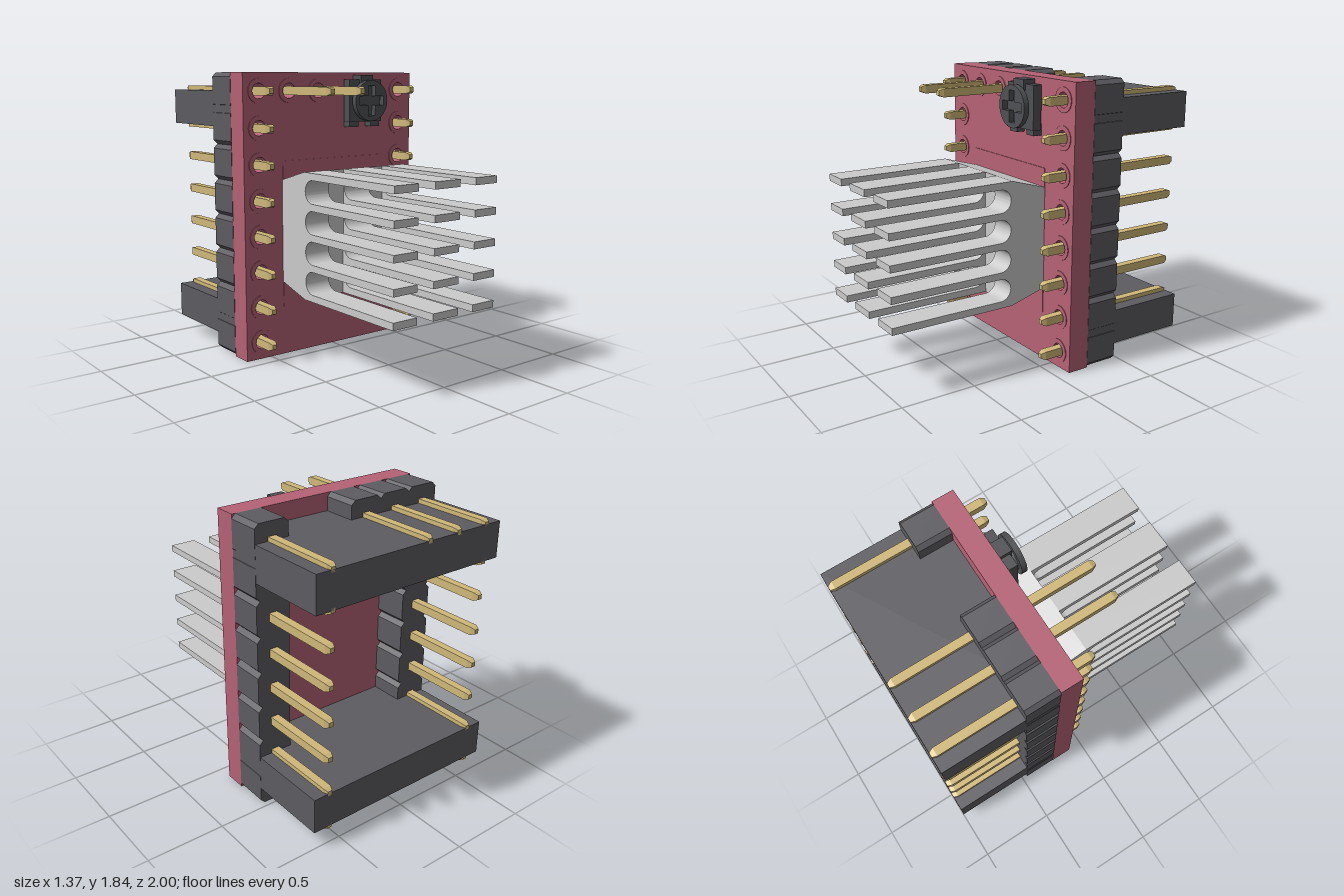
import * as THREE from 'three';
import { toCreasedNormals } from 'three/addons/utils/BufferGeometryUtils.js';

const mat = (color) => new THREE.MeshStandardMaterial({ color });
const red = mat(0xb56275), plastic = mat(0x5d5c61), gold = mat(0xd0b878);
const dark = mat(0x505154), metal = mat(0xcccccc);
gold.flatShading = true;

const PITCH = 0.23;
const ROW_Y = Array.from({ length: 8 }, (_, i) => 0.115 + i * PITCH);
const COL_X = 0.572;

export function createModel() {
  const model = new THREE.Group();

  const add = (name, geometry, material, parent = model) => {
    const mesh = new THREE.Mesh(geometry, material);
    mesh.name = name;
    parent.add(mesh);
    return mesh;
  };
  const box = (name, x0, x1, y0, y1, z0, z1, material, parent) => {
    const m = add(name, new THREE.BoxGeometry(x1 - x0, y1 - y0, z1 - z0), material, parent);
    m.position.set((x0 + x1) / 2, (y0 + y1) / 2, (z0 + z1) / 2);
    return m;
  };
  // Extrude an xy shape from z0 to z1
  const slab = (shape, z0, z1, curveSegments = 12) =>
    toCreasedNormals(new THREE.ExtrudeGeometry(shape, { depth: z1 - z0, bevelEnabled: false, curveSegments })
      .translate(0, 0, z0), 0.6);
  const polygon = (pts) => new THREE.Shape(pts.map(([x, y]) => new THREE.Vector2(x, y)));
  const circle = (x, y, r) => new THREE.Path().absarc(x, y, r, 0, Math.PI * 2, false);

  // Pin positions: two columns plus two long pins in the top row
  const pins = [];
  for (const y of ROW_Y) for (const s of [-1, 1]) pins.push({ x: s * COL_X, y, front: 0.055 });
  for (const x of [-0.345, -0.115]) pins.push({ x, y: ROW_Y[7], front: 0.37 });

  // Circuit board with pin holes
  const board = polygon([[-0.685, 0], [0.685, 0], [0.685, 1.84], [-0.685, 1.84]]);
  pins.forEach((p) => board.holes.push(circle(p.x, p.y, 0.048)));
  add('circuitBoard', slab(board, -0.24, -0.095, 10), red);

  // Thin raised pads around the holes and under the heat sink
  for (const p of pins) {
    const ring = new THREE.Shape().absarc(p.x, p.y, 0.078, 0, Math.PI * 2, false);
    ring.holes.push(circle(p.x, p.y, 0.048));
    add('solderPad', slab(ring, -0.095, -0.09, 10), red);
  }
  box('thermalPad', -0.4, 0.4, 0.32, 1.28, -0.095, -0.09, red);

  // Square pins with tapered tips
  const pinGeometry = (z0, z1) => {
    const r = 0.027 * Math.SQRT2, t = r * 0.55;
    const profile = [[0, z0], [t, z0], [r, z0 + 0.03], [r, z1 - 0.03], [t, z1], [0, z1]];
    return new THREE.LatheGeometry(profile.map(([a, b]) => new THREE.Vector2(a, b)), 4, Math.PI / 4)
      .rotateX(Math.PI / 2);
  };
  for (const p of pins) {
    add('pin', pinGeometry(-1, p.front), gold).position.set(p.x, p.y, 0);
  }

  // Header strips: a row of blocks with chamfered corners
  const headerStrip = (count) => {
    const h = PITCH / 2, c = 0.027, right = [], left = [];
    for (let i = 0; i < count; i++) {
      const a = i * PITCH, b = a + PITCH;
      right.push([h - c, a], [h, a + c], [h, b - c]);
      left.push([c - h, a], [-h, a + c], [-h, b - c]);
    }
    right.push([h - c, count * PITCH]);
    left.push([c - h, count * PITCH]);
    return slab(polygon([...right, ...left.reverse()]), -0.465, -0.24);
  };
  for (const s of [-1, 1]) add('sideHeader', headerStrip(8), plastic).position.x = s * COL_X;
  const topHeader = add('topHeader', headerStrip(2), plastic);
  topHeader.rotation.z = -Math.PI / 2;
  topHeader.position.set(-0.46, ROW_Y[7], 0);

  // Rear plates between the outer pin rows
  box('upperPlate', -0.685, 0.685, ROW_Y[6], ROW_Y[7], -1, -0.24, plastic);
  box('lowerPlate', -0.685, 0.685, ROW_Y[0], ROW_Y[1], -1, -0.24, plastic);

  // Heat sink: side profiles drawn in (z, y) and extruded across x
  const heatSink = new THREE.Group();
  heatSink.name = 'heatSink';
  model.add(heatSink);
  const across = (shape, x0, x1) => slab(shape, -x1, -x0, 16).rotateY(-Math.PI / 2);
  const base = polygon([[-0.09, 0.49], [0.155, 0.42], [0.155, 1.23], [-0.09, 1.16]]);
  add('heatSinkBase', across(base, -0.405, 0.405), metal, heatSink);

  const comb = new THREE.Shape().moveTo(0.155, 0.42);
  const step = 0.19125, thick = 0.045, r = (step - thick) / 2;
  for (let i = 0; i < 5; i++) {
    const y = 0.42 + i * step;
    comb.lineTo(1, y).lineTo(1, y + thick);
    if (i < 4) {
      comb.lineTo(0.165 + r, y + thick);
      comb.absarc(0.165 + r, y + thick + r, r, -Math.PI / 2, Math.PI / 2, true);
    }
  }
  comb.lineTo(0.155, 1.23);
  for (const [x0, x1] of [[-0.405, -0.225], [-0.1, 0.1], [0.225, 0.405]]) {
    add('heatSinkFins', across(comb, x0, x1), metal, heatSink);
  }

  // Trimmer: body, terminals and a dial with a cross recess
  const trimmer = new THREE.Group();
  trimmer.name = 'trimmer';
  trimmer.position.set(0.227, 1.655, 0);
  model.add(trimmer);
  box('trimmerBody', -0.137, 0.137, -0.14, 0.14, -0.085, -0.025, dark, trimmer);
  box('trimmerTopTerminal', -0.053, 0.053, 0.1, 0.168, -0.095, -0.01, dark, trimmer);
  for (const s of [-1, 1]) {
    box('trimmerTerminal', s * 0.09 - 0.038, s * 0.09 + 0.038, -0.175, -0.1, -0.095, -0.035, dark, trimmer);
  }
  const neck = add('dialNeck', new THREE.CylinderGeometry(0.1, 0.07, 0.035, 24).rotateX(Math.PI / 2), dark, trimmer);
  neck.position.z = -0.012;
  const dial = new THREE.Shape().absarc(0, 0, 0.135, 0, Math.PI * 2, false);
  const a = 0.1, b = 0.03;
  dial.holes.push(polygon([[b, b], [b, a], [-b, a], [-b, b], [-a, b], [-a, -b],
    [-b, -b], [-b, -a], [b, -a], [b, -b], [a, -b], [a, b]]));
  add('dial', slab(dial, 0.005, 0.042, 18), dark, trimmer);

  return model;
}
